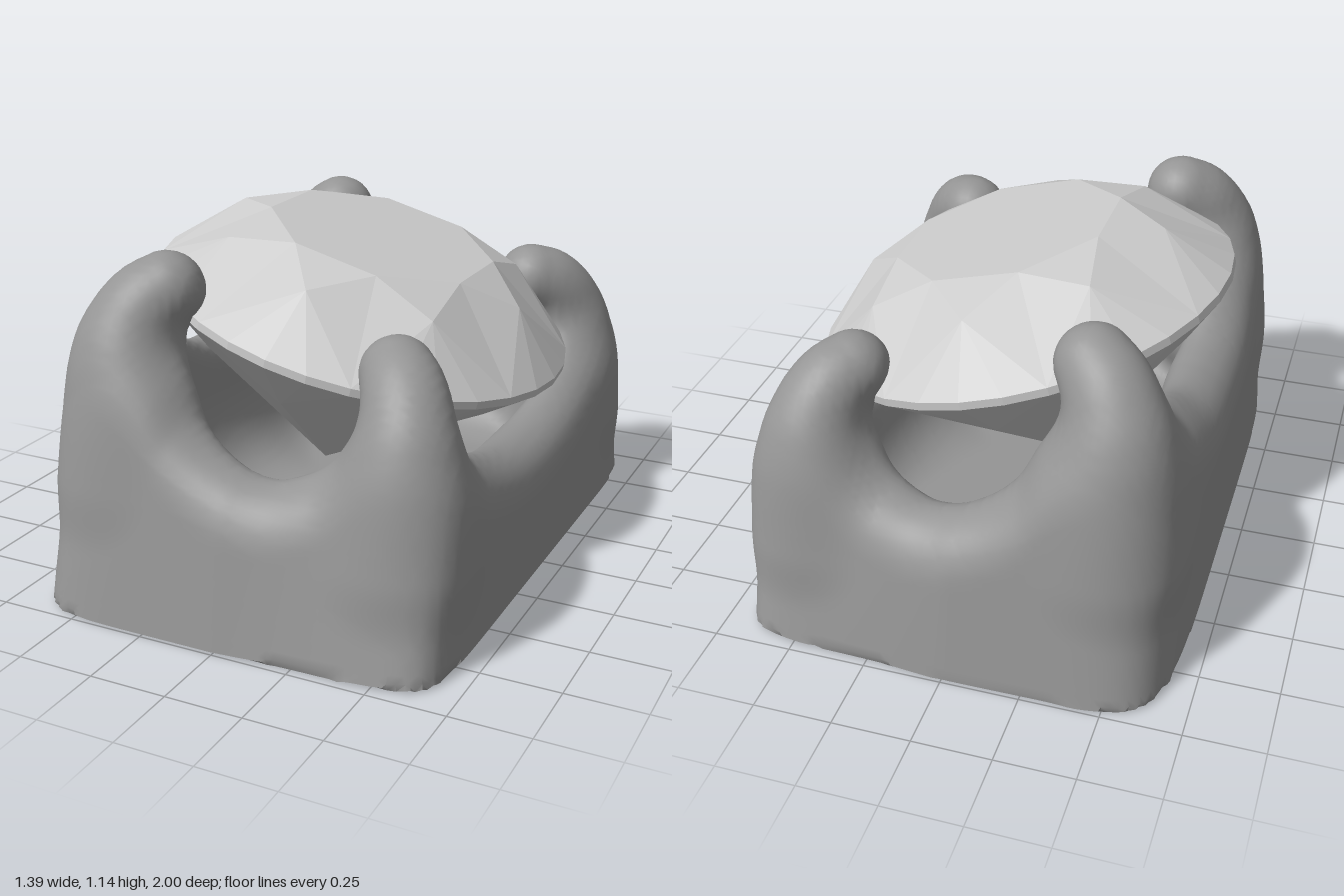
import * as THREE from 'three';
import { toCreasedNormals } from 'three/addons/utils/BufferGeometryUtils.js';

const DEG = Math.PI / 180;
const settingMaterial = new THREE.MeshStandardMaterial({ color: 0x959595 });
const stoneMaterial = new THREE.MeshStandardMaterial({ color: 0xcccccc, flatShading: true });

// Soft versions of max (cut) and min (join); k is the width of the blend
const softMax = (a, b, k) => Math.max(a, b) + k / 4 * Math.max(0, 1 - Math.abs(a - b) / k) ** 2;
const softMin = (a, b, k) => -softMax(-a, -b, k);

// Rim height by angle, from +x (0 deg) round the front to -x (180 deg); the back mirrors it
const rim = new THREE.CubicInterpolant(
  [0, 25, 38, 47, 56, 64, 69, 75, 83, 95, 103, 108, 114, 124, 133, 145, 160, 180],
  [0.45, 0.48, 0.54, 0.62, 0.66, 0.63, 0.57, 0.52, 0.49, 0.54, 0.63, 0.73, 0.79, 0.83, 0.81, 0.74, 0.67, 0.65],
  1);
rim.settings = { endingStart: THREE.ZeroSlopeEnding, endingEnd: THREE.ZeroSlopeEnding };

// Distance from the axis to the outer wall: a rounded rectangle that tapers and softens upward
function wallRadius(angle, y) {
  const right = Math.max(0, Math.cos(angle));
  const halfX = 0.69 - 0.3 * Math.max(0, y - 0.4) ** 2;
  const halfZ = 1 - 0.06 * right - (0.16 + 0.15 * right) * y;
  const n = Math.max(4.5, 10 + 4 * Math.cos(angle) - 5 * y);
  return (Math.abs(Math.cos(angle) / halfX) ** n + Math.abs(Math.sin(angle) / halfZ) ** n) ** (-1 / n);
}

// A bent prong as a row of overlapping balls, tapering toward the tip
function prongBalls(path, startRadius, tipRadius) {
  const curve = new THREE.CatmullRomCurve3(path.map((p) => new THREE.Vector3(...p)));
  return curve.getSpacedPoints(28).map((centre, i) => ({
    centre, radius: THREE.MathUtils.lerp(startRadius, tipRadius, (i / 28) ** 2),
  }));
}
const prongs = [
  prongBalls([[-0.46, 0.4, 0.71], [-0.46, 0.65, 0.70], [-0.45, 0.82, 0.68], [-0.41, 0.92, 0.64], [-0.36, 0.97, 0.60]], 0.185, 0.12),
  prongBalls([[0.50, 0.3, 0.73], [0.50, 0.55, 0.72], [0.49, 0.68, 0.69], [0.45, 0.77, 0.63], [0.405, 0.805, 0.575]], 0.16, 0.115),
];

// Setting as a signed field: tapered block, soft saddle rim, bowl, and prongs melted in
function settingField(x, y, z) {
  const depth = Math.abs(z);
  const angle = Math.atan2(depth, x);
  const r = Math.sqrt(x * x + z * z);
  const h = rim.evaluate(angle / DEG)[0];
  const wall = r - wallRadius(angle, Math.min(Math.max(y, 0), h));
  const bowl = softMax(wall + 0.23, 0.16 - y, 0.3);
  let d = softMax(softMax(wall, y - h, 0.18), -bowl, 0.12);
  for (const balls of prongs) {
    let nearest = Infinity;
    for (const { centre, radius } of balls) {
      const dx = x - centre.x, dy = y - centre.y, dz = depth - centre.z;
      nearest = Math.min(nearest, Math.sqrt(dx * dx + dy * dy + dz * dz) - radius);
    }
    d = softMin(d, nearest, 0.13);
  }
  return Math.max(d, -y);
}

// Skin a field: one vertex per crossed cell, one quad per crossed grid edge
function skin(field, origin, size, cell) {
  const stride = [1, size[0], size[0] * size[1]];
  const count = size[0] * size[1] * size[2];
  const values = new Float32Array(count), vertexOf = new Int32Array(count);
  const positions = [], index = [];
  const coords = (n) => [n % size[0], Math.floor(n / stride[1]) % size[1], Math.floor(n / stride[2])];
  const offset = (corner) => (corner & 1) * stride[0] + (corner >> 1 & 1) * stride[1] + (corner >> 2) * stride[2];

  for (let n = 0; n < count; n++) {
    values[n] = field(...coords(n).map((c, d) => origin[d] + c * cell));
  }
  for (let n = 0; n < count; n++) {
    const at = coords(n);
    if (at.some((c, d) => c === size[d] - 1)) continue;
    const sum = [0, 0, 0];
    let hits = 0;
    for (let a = 0; a < 8; a++) {
      for (let d = 0; d < 3; d++) {
        if (a >> d & 1) continue;
        const va = values[n + offset(a)], vb = values[n + offset(a | 1 << d)];
        if (va < 0 === vb < 0) continue;
        for (let e = 0; e < 3; e++) sum[e] += e === d ? va / (va - vb) : a >> e & 1;
        hits++;
      }
    }
    if (!hits) continue;
    const p = sum.map((s, d) => origin[d] + (at[d] + s / hits) * cell);
    // settle the vertex onto the surface
    const f = field(...p), step = 0.002;
    const slope = p.map((_, d) => (field(...p.map((c, e) => (e === d ? c + step : c))) - f) / step);
    const scale = f / Math.max(0.5, slope[0] ** 2 + slope[1] ** 2 + slope[2] ** 2);
    vertexOf[n] = positions.length / 3;
    positions.push(...p.map((c, d) => c - slope[d] * scale));
  }
  for (let n = 0; n < count; n++) {
    const at = coords(n);
    if (at.some((c, d) => c === 0 || c === size[d] - 1)) continue;
    for (let d = 0; d < 3; d++) {
      const inside = values[n] < 0;
      if (inside === values[n + stride[d]] < 0) continue;
      const u = stride[(d + 1) % 3], v = stride[(d + 2) % 3];
      const [a, b, c, e] = [n - u - v, n - v, n, n - u].map((m) => vertexOf[m]);
      index.push(...(inside ? [a, b, c, a, c, e] : [a, c, b, a, e, c]));
    }
  }
  const geometry = new THREE.BufferGeometry();
  geometry.setAttribute('position', new THREE.Float32BufferAttribute(positions, 3));
  geometry.setIndex(index);
  return toCreasedNormals(geometry, 40 * DEG);
}

function createSetting() {
  const geometry = skin(settingField, [-0.7625, -0.0375, -1.0625], [62, 50, 86], 0.025);
  const mesh = new THREE.Mesh(geometry, settingMaterial);
  mesh.name = 'prongSetting';
  return mesh;
}

// Round brilliant-cut stone: crown and pavilion share one eight-fold facet rule
function createStone() {
  const positions = [];
  const at = (r, y, deg) => [r * Math.cos(deg * DEG), y, r * Math.sin(deg * DEG)];
  const girdle = 0.69, edge = 0.013, step = 11.25;

  function half(up, inner, innerY, mid, midY, girdleY) {
    const tri = (a, b, c) => positions.push(...a, ...(up ? c : b), ...(up ? b : c));
    for (let k = 0; k < 8; k++) {
      const deg = 45 * k;
      const star = at(mid, midY, deg), nextStar = at(mid, midY, deg + 45);
      const before = at(inner, innerY, deg - 22.5), after = at(inner, innerY, deg + 22.5);
      const tip = at(girdle, girdleY, deg + 22.5);
      // table slice and star facet
      if (inner > 0) {
        tri([0, innerY, 0], before, after);
        tri(before, star, after);
      }
      // kite facet
      tri(after, star, tip);
      tri(after, tip, nextStar);
      // facets meeting the girdle
      for (let s = -2; s < 2; s++) {
        tri(star, at(girdle, girdleY, deg + s * step), at(girdle, girdleY, deg + (s + 1) * step));
      }
    }
  }
  half(true, 0.373, 0.25, 0.512, 0.19, edge);
  half(false, 0, -0.6, 0.5, -0.206, -edge);

  // girdle band
  for (let k = 0; k < 32; k++) {
    const a = at(girdle, -edge, k * step), b = at(girdle, -edge, (k + 1) * step);
    const c = at(girdle, edge, k * step), d = at(girdle, edge, (k + 1) * step);
    positions.push(...a, ...c, ...b, ...b, ...c, ...d);
  }
  const geometry = new THREE.BufferGeometry();
  geometry.setAttribute('position', new THREE.Float32BufferAttribute(positions, 3));
  geometry.computeVertexNormals();
  const mesh = new THREE.Mesh(geometry, stoneMaterial);
  mesh.name = 'stone';
  mesh.position.set(0.02, 0.81, -0.01);
  mesh.rotation.z = -14.7 * DEG;
  return mesh;
}

export function createModel() {
  const model = new THREE.Group();
  model.name = 'stoneInProngSetting';
  model.add(createSetting(), createStone());
  return model;
}
